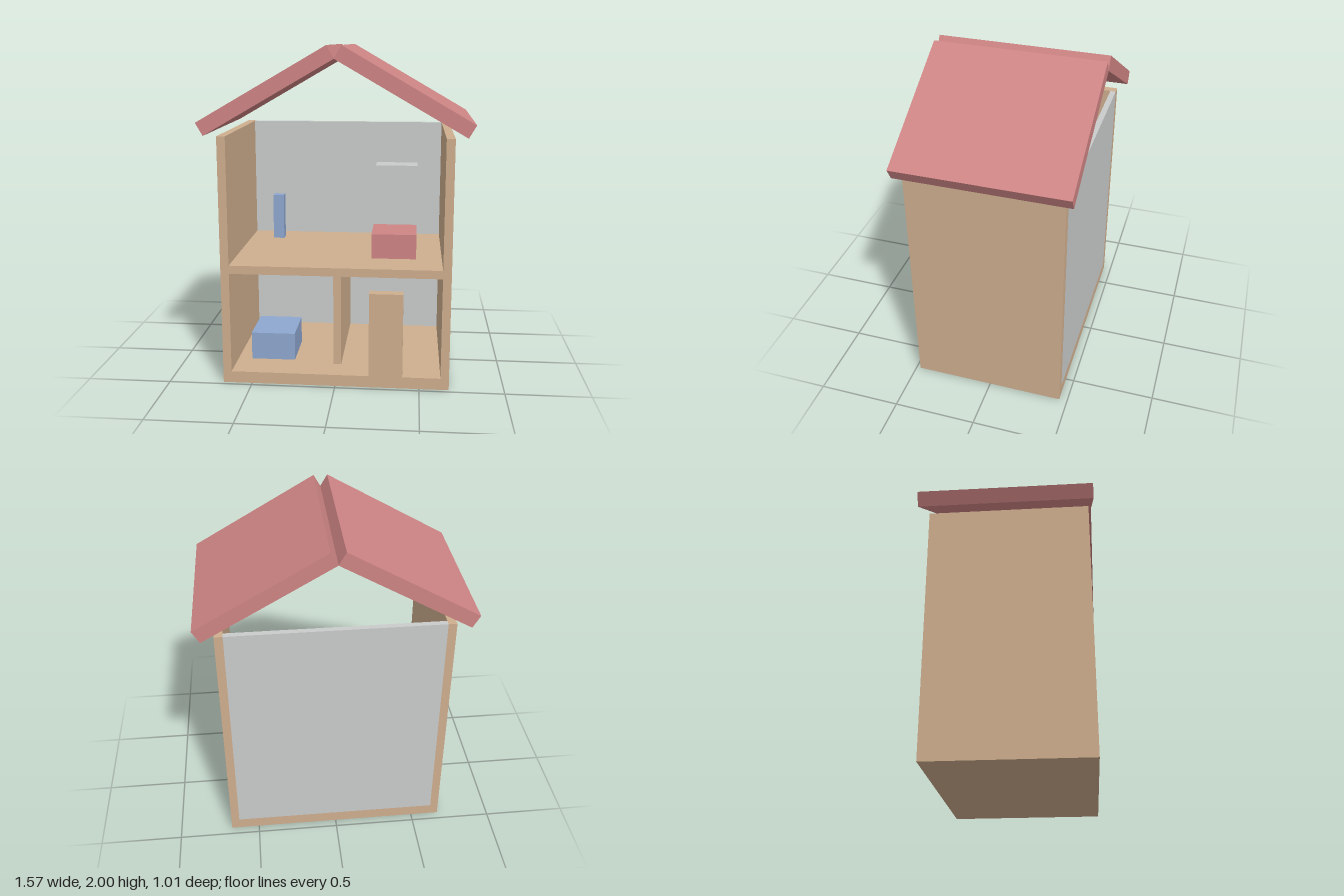
import * as THREE from 'three';

const paint = (name, color) => {
  const m = new THREE.MeshStandardMaterial({ color });
  m.name = name;
  return m;
};

export function createModel() {
  const house = new THREE.Group();
  house.name = 'dollhouse';
  const wood = paint('tan wood', 0xceae8e);
  const grey = paint('pale grey', 0xc9cccb);
  const red = paint('soft red', 0xce8484);
  const blue = paint('soft blue', 0x8ea6d0);

  // Box given by its extents along each axis
  const box = (name, material, [x0, x1], [y0, y1], [z0, z1]) => {
    const mesh = new THREE.Mesh(new THREE.BoxGeometry(x1 - x0, y1 - y0, z1 - z0), material);
    mesh.position.set((x0 + x1) / 2, (y0 + y1) / 2, (z0 + z1) / 2);
    mesh.name = name;
    house.add(mesh);
    return mesh;
  };

  const back = -0.45, inner = -0.415, front = 0.475;

  // Shell: floors, back wall and room divider
  box('groundFloor', wood, [-0.625, 0.625], [0, 0.07], [back, front]);
  box('upperFloor', wood, [-0.625, 0.625], [0.68, 0.73], [inner, front]);
  box('backWall', grey, [-0.625, 0.625], [0.07, 1.49], [back, inner]);
  box('divider', wood, [-0.025, 0.023], [0.07, 0.68], [inner, 0.31]);
  box('door', wood, [0.2, 0.4], [0.07, 0.58], [0.41, front]);

  // Mirrored side walls and tilted roof slabs
  for (const [side, s] of [['right', -1], ['left', 1]]) {
    const x = [s * 0.625, s * 0.675].sort((a, b) => a - b);
    box(side + 'Wall', wood, x, [0, 1.49], [back, front]);

    const slab = new THREE.Mesh(new THREE.BoxGeometry(0.86, 0.085, 1.01), red);
    slab.position.set(s * 0.393, 1.747, 0);
    slab.rotation.z = -s * Math.PI / 6;
    slab.name = side + 'Roof';
    house.add(slab);
  }

  // Furniture
  box('sofa', blue, [-0.54, -0.27], [0.07, 0.24], [-0.045, 0.265]);
  box('lamp', blue, [-0.475, -0.405], [0.73, 1.02], [-0.285, -0.22]);
  box('bed', red, [0.2, 0.47], [0.73, 0.88], [-0.035, 0.24]);
  box('wardrobe', grey, [0.2, 0.47], [0.73, 1.22], [inner, -0.27]);

  return house;
}
